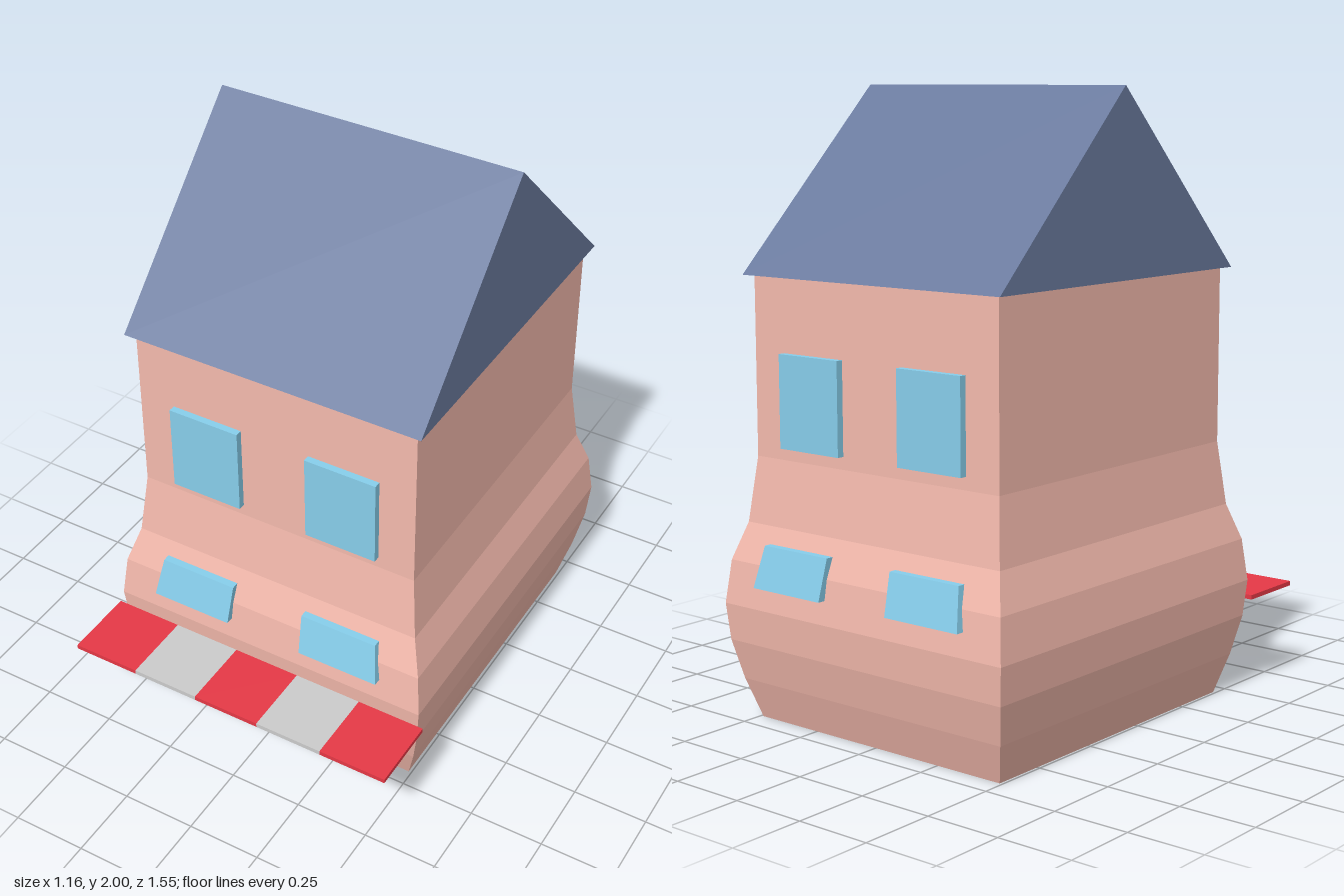
import * as THREE from 'three';

// Bulge profile: [height, scale of the floor plan]
const PROFILE = [[0, 1], [0.13, 1.075], [0.26, 1.13], [0.38, 1.15], [0.52, 1.12], [0.64, 1.045], [0.85, 1], [1.42, 1]];
const HALF_X = 0.49, HALF_Z = 0.56, CENTRE_Z = -0.115;

function bulge(y) {
  for (let i = 1; i < PROFILE.length; i++) {
    const [y0, s0] = PROFILE[i - 1], [y1, s1] = PROFILE[i];
    if (y <= y1) return THREE.MathUtils.mapLinear(y, y0, y1, s0, s1);
  }
  return 1;
}

const material = (color) => new THREE.MeshStandardMaterial({ color, flatShading: true });

// Scale every vertex outward according to its height
function swell(geometry) {
  const p = geometry.attributes.position;
  for (let i = 0; i < p.count; i++) {
    const s = bulge(p.getY(i));
    p.setXYZ(i, p.getX(i) * s, p.getY(i), p.getZ(i) * s);
  }
  geometry.computeVertexNormals();
  return geometry;
}

export function createModel() {
  const model = new THREE.Group();
  const house = new THREE.Group();
  house.name = 'house';
  house.position.z = CENTRE_Z;
  model.add(house);

  const wall = material(0xf4baad);
  const roofBlue = material(0x6b7b9f);
  const glass = material(0x87ceeb);
  const doorTeal = material(0x8fc3bf);
  const red = material(0xe63946);
  const grey = material(0xcccccc);

  function add(parent, name, geometry, mat) {
    const mesh = new THREE.Mesh(geometry, mat);
    mesh.name = name;
    parent.add(mesh);
    return mesh;
  }

  // Walls: a box whose rings follow the bulge profile
  const rings = PROFILE.length - 1;
  const body = new THREE.BoxGeometry(2 * HALF_X, rings, 2 * HALF_Z, 1, rings, 1);
  const p = body.attributes.position;
  for (let i = 0; i < p.count; i++) p.setY(i, PROFILE[Math.round(p.getY(i) + rings / 2)][0]);
  add(house, 'walls', swell(body), wall);

  // Gable roof, ridge along x
  const gable = new THREE.Shape([
    new THREE.Vector2(-0.587, 1.42), new THREE.Vector2(0.587, 1.42), new THREE.Vector2(0, 2),
  ]);
  const roof = new THREE.ExtrudeGeometry(gable, { depth: 1.03, bevelEnabled: false });
  roof.translate(0, 0, -0.515).rotateY(Math.PI / 2);
  add(house, 'roof', roof, roofBlue);

  // Panels that lean with the wall behind them
  function panel(name, x, y0, y1, width, side, mat, segments = 1) {
    const g = new THREE.BoxGeometry(width, y1 - y0, 0.045, 1, segments, 1);
    g.translate(x, (y0 + y1) / 2, side * (HALF_Z + 0.001));
    add(house, name, swell(g), mat);
  }
  for (const side of [1, -1]) {
    for (const x of [-0.243, 0.243]) {
      panel('upperWindow', x, 0.89, 1.185, 0.246, side, glass);
      panel('lowerWindow', x, 0.455, 0.587, 0.248, side, glass);
    }
  }
  panel('shopFront', 0, 0.025, 0.303, 0.82, 1, doorTeal, 4);

  // Striped awning
  const awning = new THREE.Group();
  awning.name = 'awning';
  model.add(awning);
  const stripe = 1.16 / 5;
  for (let i = 0; i < 5; i++) {
    const g = new THREE.BoxGeometry(stripe, 0.015, 0.245);
    add(awning, 'awningStripe', g, i % 2 ? grey : red).position.set((i - 2) * stripe, 0.322, 0.6525);
  }
  return model;
}
